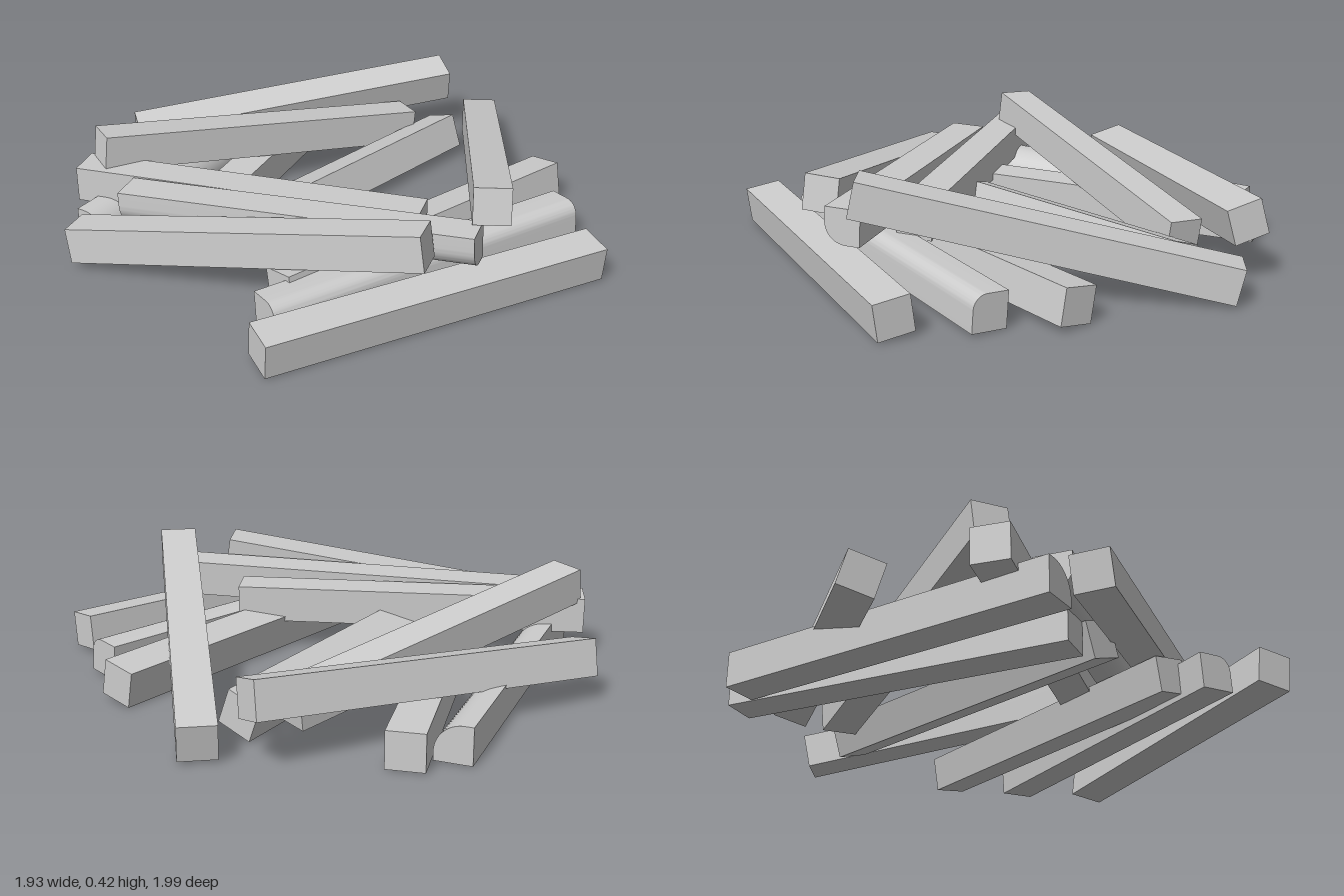
import * as THREE from 'three';
import { toCreasedNormals } from 'three/addons/utils/BufferGeometryUtils.js';

const H = 0.065; // half thickness of a beam

// Square cross-section, with the upper right corner rounded on split logs
function section(round) {
  const s = new THREE.Shape();
  s.moveTo(-H, -H);
  s.lineTo(H, -H);
  if (round > 0) {
    s.lineTo(H, H - round);
    s.absarc(H - round, H - round, round, 0, Math.PI / 2, false);
  } else {
    s.lineTo(H, H);
  }
  s.lineTo(-H, H);
  s.closePath();
  return s;
}

// Beam from a to b (centres of its ends), rolled about its own axis in degrees
function beam(name, a, b, roll, round, material) {
  const start = new THREE.Vector3(...a);
  const end = new THREE.Vector3(...b);
  const dir = end.clone().sub(start);
  const length = dir.length();
  dir.normalize();
  const right = dir.clone().cross(new THREE.Vector3(0, 1, 0)).normalize();
  const up = right.clone().cross(dir);
  const extruded = new THREE.ExtrudeGeometry(section(round), {
    depth: length, bevelEnabled: false, curveSegments: 8,
  });
  extruded.rotateZ(THREE.MathUtils.degToRad(roll));
  extruded.applyMatrix4(new THREE.Matrix4().makeBasis(right, up, dir.negate()).setPosition(end));
  const mesh = new THREE.Mesh(toCreasedNormals(extruded, 0.5), material);
  mesh.name = name;
  return mesh;
}

export function createModel() {
  const group = new THREE.Group();
  group.name = 'beamPile';
  const grey = new THREE.MeshStandardMaterial({ color: 0xcccccc });
  grey.name = 'paleGrey';

  // name, start, end, roll, corner rounding
  const beams = [
    // beams lying on the ground
    ['groundBeamFrontRight', [-0.03, 0.073, 0.94], [0.915, 0.073, 0.07], -7, 0],
    ['groundBeamRightOuter', [-0.07, 0.067, 0.745], [0.775, 0.067, -0.2], 4, 0.05],
    ['groundBeamRightInner', [-0.07, 0.074, 0.59], [0.667, 0.074, -0.46], 10, 0],
    ['groundBeamMiddle', [-0.397, 0.082, 0.413], [0.21, 0.082, -0.72], 20, 0],
    ['groundBeamLeftInner', [-0.52, 0.065, 0.35], [-0.33, 0.065, -0.92], 0, 0],
    ['groundBeamLeftOuter', [-0.852, 0.065, 0.38], [-0.476, 0.065, -0.85], 0, 0.1],
    // beams resting across them
    ['crossBeamBack', [-0.93, 0.14, -0.233], [0.155, 0.225, -0.93], -15, 0],
    ['crossBeamDiagonal', [-0.895, 0.285, 0.175], [0.05, 0.11, -0.7], 3, 0],
    ['crossBeamInner', [-0.96, 0.167, 0.19], [0.33, 0.177, 0.205], 1, 0],
    ['crossBeamMiddle', [-0.73, 0.17, 0.33], [0.56, 0.22, 0.38], -88, 0.08],
    ['crossBeamFront', [-0.865, 0.08, 0.48], [0.415, 0.278, 0.515], 4, 0],
    ['leaningBeamRight', [0.59, 0.35, 0.325], [0.31, 0.07, -0.925], 0, 0],
  ];
  for (const [name, a, b, roll, round] of beams) {
    group.add(beam(name, a, b, roll, round, grey));
  }
  return group;
}
